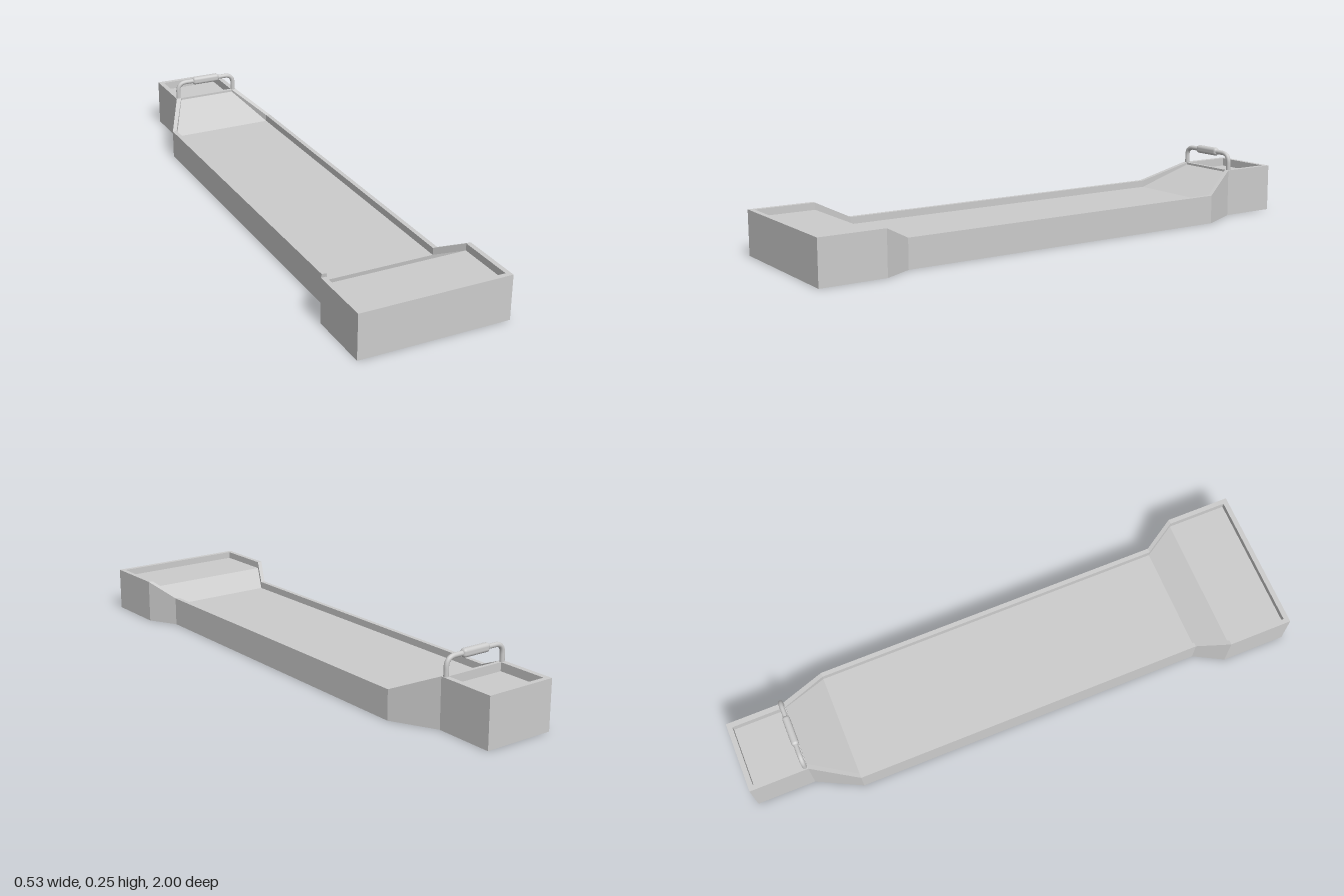
import * as THREE from 'three';
import { RoundedBoxGeometry } from 'three/addons/geometries/RoundedBoxGeometry.js';

const grey = (flat) => new THREE.MeshStandardMaterial({ color: 0xcccccc, flatShading: flat });

// Tray stations from front to back: z, half width, rim height, inner half width, floor height
const stations = [
  [1, 0.267, 0.158, 0.25, 0.158],
  [0.982, 0.267, 0.158, 0.25, 0.158],
  [0.982, 0.267, 0.158, 0.25, 0.133],
  [0.765, 0.267, 0.158, 0.25, 0.133],
  [0.66, 0.21, 0.105, 0.194, 0.08],
  [-0.63, 0.21, 0.105, 0.194, 0.08],
  [-0.787, 0.13, 0.175, 0.111, 0.167],
  [-0.787, 0.13, 0.175, 0.111, 0.175],
  [-0.8, 0.13, 0.175, 0.111, 0.175],
  [-0.8, 0.13, 0.175, 0.111, 0.145],
  [-0.982, 0.13, 0.175, 0.111, 0.145],
  [-0.982, 0.13, 0.175, 0.111, 0.175],
  [-1, 0.13, 0.175, 0.111, 0.175],
];

// Loft the rimmed channel section through the stations and close both ends
function trayGeometry() {
  const rings = stations.map(([z, w, h, wi, f]) =>
    [[-w, 0], [-w, h], [-wi, h], [-wi, f], [wi, f], [wi, h], [w, h], [w, 0]].map(([x, y]) => [x, y, z]));
  const pos = [];
  const quad = (a, b, c, d) => [a, b, c, a, c, d].forEach((p) => pos.push(...p));
  for (let i = 0; i < rings.length - 1; i++) {
    const r = rings[i], s = rings[i + 1];
    for (let j = 0; j < 8; j++) {
      const k = (j + 1) % 8;
      quad(r[j], r[k], s[k], s[j]);
    }
  }
  const front = rings[0], back = rings[rings.length - 1];
  quad(front[0], front[7], front[6], front[1]);
  quad(back[7], back[0], back[1], back[6]);
  const geo = new THREE.BufferGeometry();
  geo.setAttribute('position', new THREE.Float32BufferAttribute(pos, 3));
  geo.computeVertexNormals();
  return geo;
}

// Bent rod with rounded corners, standing on the side rims
function handlePath() {
  const v = (x, y) => new THREE.Vector3(x, y, 0);
  const x = 0.119, top = 0.237, r = 0.035;
  const path = new THREE.CurvePath();
  path.add(new THREE.LineCurve3(v(-x, 0.165), v(-x, top - r)));
  path.add(new THREE.QuadraticBezierCurve3(v(-x, top - r), v(-x, top), v(-x + r, top)));
  path.add(new THREE.LineCurve3(v(-x + r, top), v(x - r, top)));
  path.add(new THREE.QuadraticBezierCurve3(v(x - r, top), v(x, top), v(x, top - r)));
  path.add(new THREE.LineCurve3(v(x, top - r), v(x, 0.165)));
  return path;
}

export function createModel() {
  const model = new THREE.Group();
  model.name = 'trayWithHandle';

  const tray = new THREE.Mesh(trayGeometry(), grey(true));
  tray.name = 'tray';
  model.add(tray);

  const handle = new THREE.Group();
  handle.name = 'handle';
  handle.position.z = -0.796;
  const rod = new THREE.Mesh(new THREE.TubeGeometry(handlePath(), 80, 0.0085, 14), grey(false));
  rod.name = 'handleRod';
  const grip = new THREE.Mesh(new RoundedBoxGeometry(0.112, 0.03, 0.026, 4, 0.011), grey(false));
  grip.name = 'handleGrip';
  grip.position.y = 0.237;
  handle.add(rod, grip);
  model.add(handle);

  return model;
}
